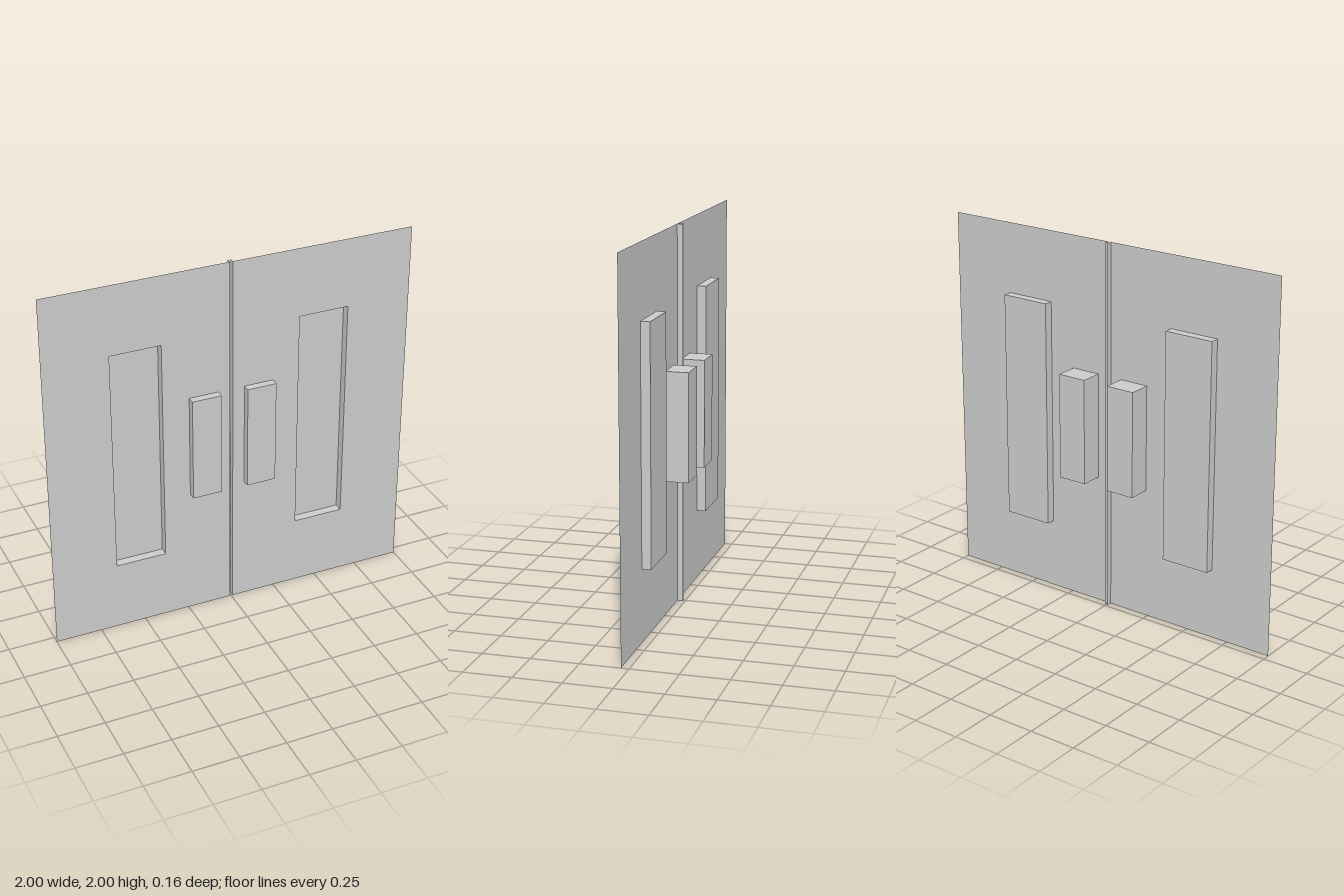
import * as THREE from 'three';

const FRONT = 0.04;    // plane of the door sheets
const RECESS = -0.008; // back of the recessed panels
const LIP = 0.01;      // back of the folded edges at the gap
const GAP = 0.008;     // half width of the gap

const material = new THREE.MeshStandardMaterial({ color: 0xcccccc, flatShading: true, side: THREE.DoubleSide });

function addMesh(parent, name, geometry, x = 0, y = 0, z = 0) {
  const mesh = new THREE.Mesh(geometry, material);
  mesh.name = name;
  mesh.position.set(x, y, z);
  parent.add(mesh);
  return mesh;
}

// Rectangle outline from two corners
function rectangle(Type, x0, y0, x1, y1) {
  return new Type([[x0, y0], [x1, y0], [x1, y1], [x0, y1]].map(p => new THREE.Vector2(...p)));
}

function createDoor(side) {
  const door = new THREE.Group();
  door.name = side > 0 ? 'leftDoor' : 'rightDoor';
  const [inner, outer, low, high] = [0.377, 0.65, 0.383, 1.62];
  const width = outer - inner, height = high - low, depth = FRONT - RECESS;
  const cx = side * (inner + outer) / 2, cy = (low + high) / 2, cz = (FRONT + RECESS) / 2;

  // Thin sheet with an opening for the recess
  const sheet = rectangle(THREE.Shape, Math.min(side, side * GAP), 0, Math.max(side, side * GAP), 2);
  sheet.holes.push(rectangle(THREE.Path, cx - width / 2, low, cx + width / 2, high));
  addMesh(door, 'sheet', new THREE.ShapeGeometry(sheet), 0, 0, FRONT);

  // Recessed panel: back and four walls, open at the front
  addMesh(door, 'recessBack', new THREE.PlaneGeometry(width, height), cx, cy, RECESS);
  for (const s of [-1, 1]) {
    addMesh(door, 'recessSide', new THREE.PlaneGeometry(depth, height), cx + s * width / 2, cy, cz)
      .rotation.y = -s * Math.PI / 2;
    addMesh(door, 'recessEnd', new THREE.PlaneGeometry(width, depth), cx, cy + s * height / 2, cz)
      .rotation.x = s * Math.PI / 2;
  }

  // Folded edge facing the gap
  addMesh(door, 'foldedEdge', new THREE.PlaneGeometry(FRONT - LIP, 2), side * GAP, 1, (FRONT + LIP) / 2)
    .rotation.y = -side * Math.PI / 2;

  // Block handle passing through the sheet
  addMesh(door, 'handle', new THREE.BoxGeometry(0.16, 0.573, 0.164), side * 0.1525, 1.0015, 0);
  return door;
}

export function createModel() {
  const model = new THREE.Group();
  model.name = 'doubleDoor';
  for (const side of [-1, 1]) model.add(createDoor(side));
  return model;
}
